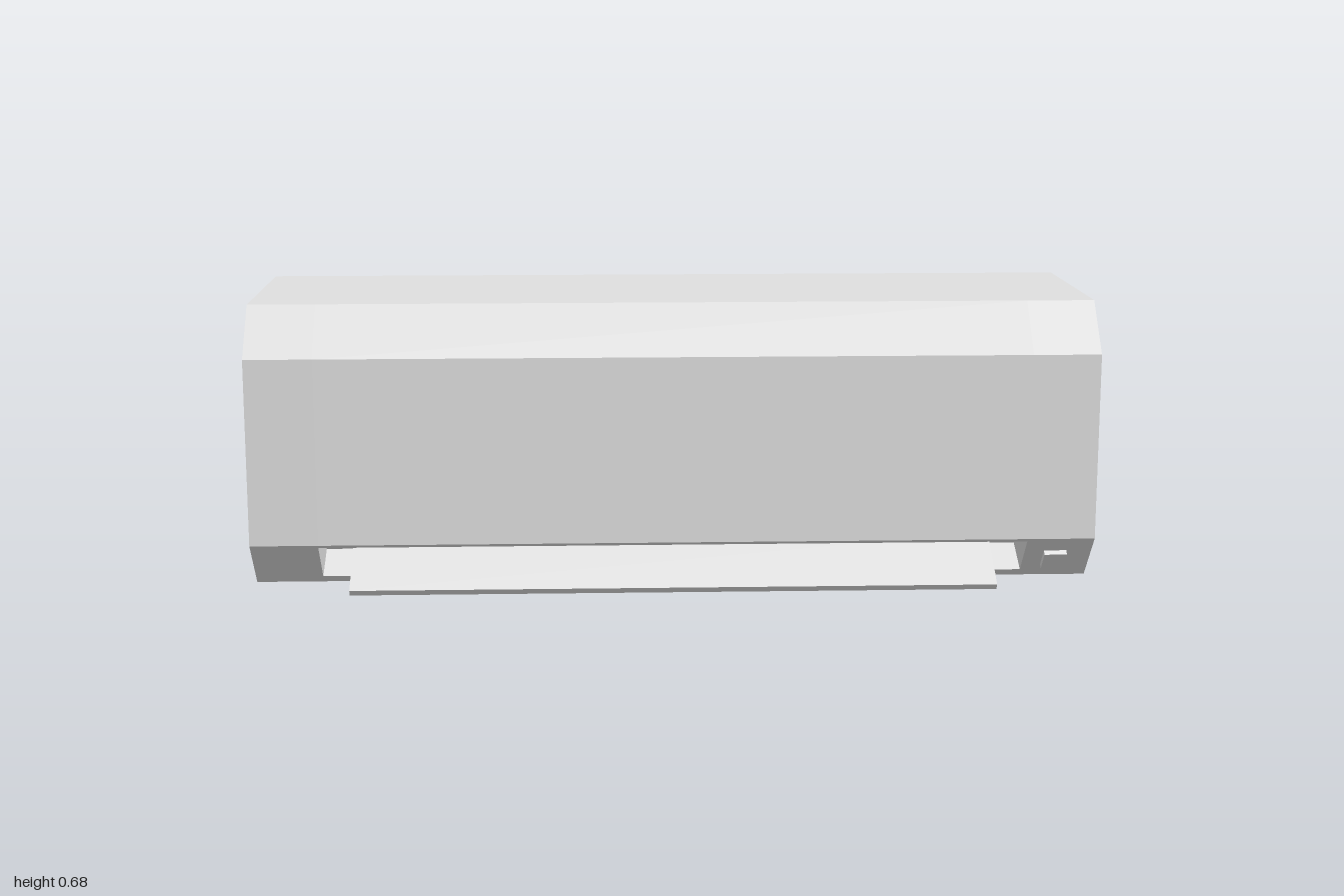
import * as THREE from 'three';

export function createModel() {
  const group = new THREE.Group();
  group.name = 'wallAirConditioner';
  const casing = new THREE.MeshStandardMaterial({ color: 0xe0e0e0 });
  casing.name = 'casing light grey';

  // Extrude a [z, y] side profile along x, from x0 to x1
  function addProfile(name, points, x0, x1) {
    const shape = new THREE.Shape(points.map(([z, y]) => new THREE.Vector2(-z, y)));
    const geometry = new THREE.ExtrudeGeometry(shape, { depth: x1 - x0, bevelEnabled: false });
    geometry.rotateY(Math.PI / 2).translate(x0, 0, 0);
    const mesh = new THREE.Mesh(geometry, casing);
    mesh.name = name;
    group.add(mesh);
  }

  const lower = [[-0.3, 0.013], [0.2, 0.013]];
  const upper = [[0.3, 0.127], [0.3, 0.571], [0.2, 0.685], [-0.3, 0.685]];
  // Air outlet cut into the lower chamfer
  const outlet = [[0.215, 0.03], [0.13, 0.075], [0.209, 0.165], [0.294, 0.12]];

  // Casing: solid ends, with the outlet between them
  addProfile('casingMiddle', [...lower, ...outlet, ...upper], -0.84, 0.84);
  addProfile('casingLeftEnd', [...lower, ...upper], 0.84, 1);
  addProfile('casingRightEnd', [...lower, ...upper], -1, -0.84);

  // Tilted air flap
  addProfile('airFlap', [[0.299, 0.016], [0.289, 0.002], [0.147, 0.096], [0.157, 0.11]], -0.77, 0.77);

  // Small receiver block on the chamfer
  addProfile('receiver', [[0.268, 0.0905], [0.277, 0.082], [0.239, 0.039], [0.229, 0.046]], 0.886, 0.94);

  return group;
}
